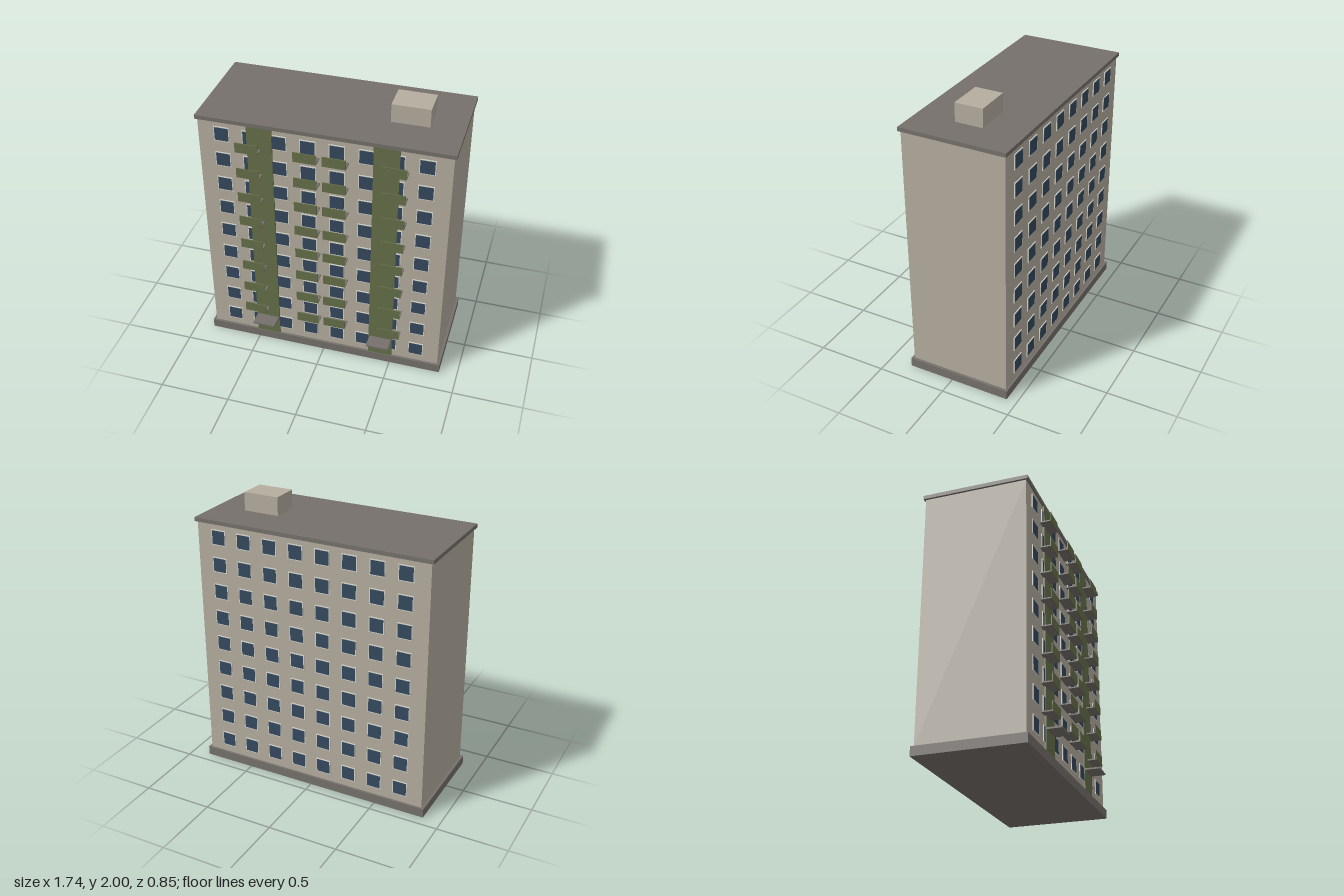
import * as THREE from 'three';

const material = (name, color) => {
  const m = new THREE.MeshStandardMaterial({ color });
  m.name = name;
  return m;
};

export function createModel() {
  const wall = material('beige wall', 0xb5ad9f);
  const concrete = material('grey concrete', 0x75706b);
  const green = material('olive green', 0x66704a);
  const glass = material('blue glass', 0x34495e);
  const trim = material('pale trim', 0xd5d5cd);

  const model = new THREE.Group();
  model.name = 'apartmentBlock';

  // Box given by its low and high limits on each axis
  const box = (name, mat, [x0, x1], [y0, y1], [z0, z1], parent = model) => {
    const mesh = new THREE.Mesh(new THREE.BoxGeometry(x1 - x0, y1 - y0, z1 - z0), mat);
    mesh.position.set((x0 + x1) / 2, (y0 + y1) / 2, (z0 + z1) / 2);
    mesh.name = name;
    parent.add(mesh);
    return mesh;
  };
  const around = (c, half) => [c - half, c + half];

  const FRONT = 0.313, BACK = -0.41;
  const STOREY = 0.1967;

  // Main volumes
  box('plinth', concrete, [-0.87, 0.87], [0, 0.065], [-0.425, 0.33]);
  box('body', wall, [-0.85, 0.85], [0.065, 1.842], [BACK, FRONT]);
  box('roofSlab', concrete, [-0.865, 0.865], [1.842, 1.87], [-0.423, 0.326]);
  box('roofHouse', wall, [0.38, 0.64], [1.87, 2], [-0.147, 0.05]);

  // Windows: a pale frame with a pane, on front and back
  const frameGeo = new THREE.BoxGeometry(0.108, 0.108, 0.006);
  const paneGeo = new THREE.BoxGeometry(0.096, 0.096, 0.008);
  const addWindow = (x, y, z, parent) => {
    const win = new THREE.Group();
    win.name = 'window';
    const frame = new THREE.Mesh(frameGeo, trim);
    frame.name = 'windowFrame';
    const pane = new THREE.Mesh(paneGeo, glass);
    pane.name = 'windowPane';
    win.add(frame, pane);
    win.position.set(x, y, z);
    parent.add(win);
  };
  for (const [name, z] of [['frontWindows', FRONT + 0.003], ['backWindows', BACK - 0.003]]) {
    const facade = new THREE.Group();
    facade.name = name;
    model.add(facade);
    for (let row = 0; row < 9; row++)
      for (let col = 0; col < 8; col++)
        addWindow((col - 3.5) * 0.196, 0.175 + row * STOREY, z, facade);
  }

  // Green stair strips with entrance canopies
  for (const side of [-1, 1]) {
    box('stairStrip', green, around(side * 0.425, 0.086), [0.065, 1.842], [FRONT, 0.325]);
    box('entranceCanopy', concrete, around(side * 0.426, 0.08), [0.21, 0.222], [FRONT, 0.427]);
  }

  // Balconies: floor slab and front parapet
  const balconies = new THREE.Group();
  balconies.name = 'balconies';
  model.add(balconies);
  for (let row = 0; row < 8; row++) {
    const y = 0.299 + row * STOREY;
    for (const x of [-0.492, -0.098, 0.098, 0.492]) {
      box('balconyFloor', concrete, around(x, 0.079), [y, y + 0.009], [FRONT, 0.384], balconies);
      box('balconyParapet', green, around(x, 0.079), [y, y + 0.072], [0.384, 0.39], balconies);
    }
  }

  return model;
}
